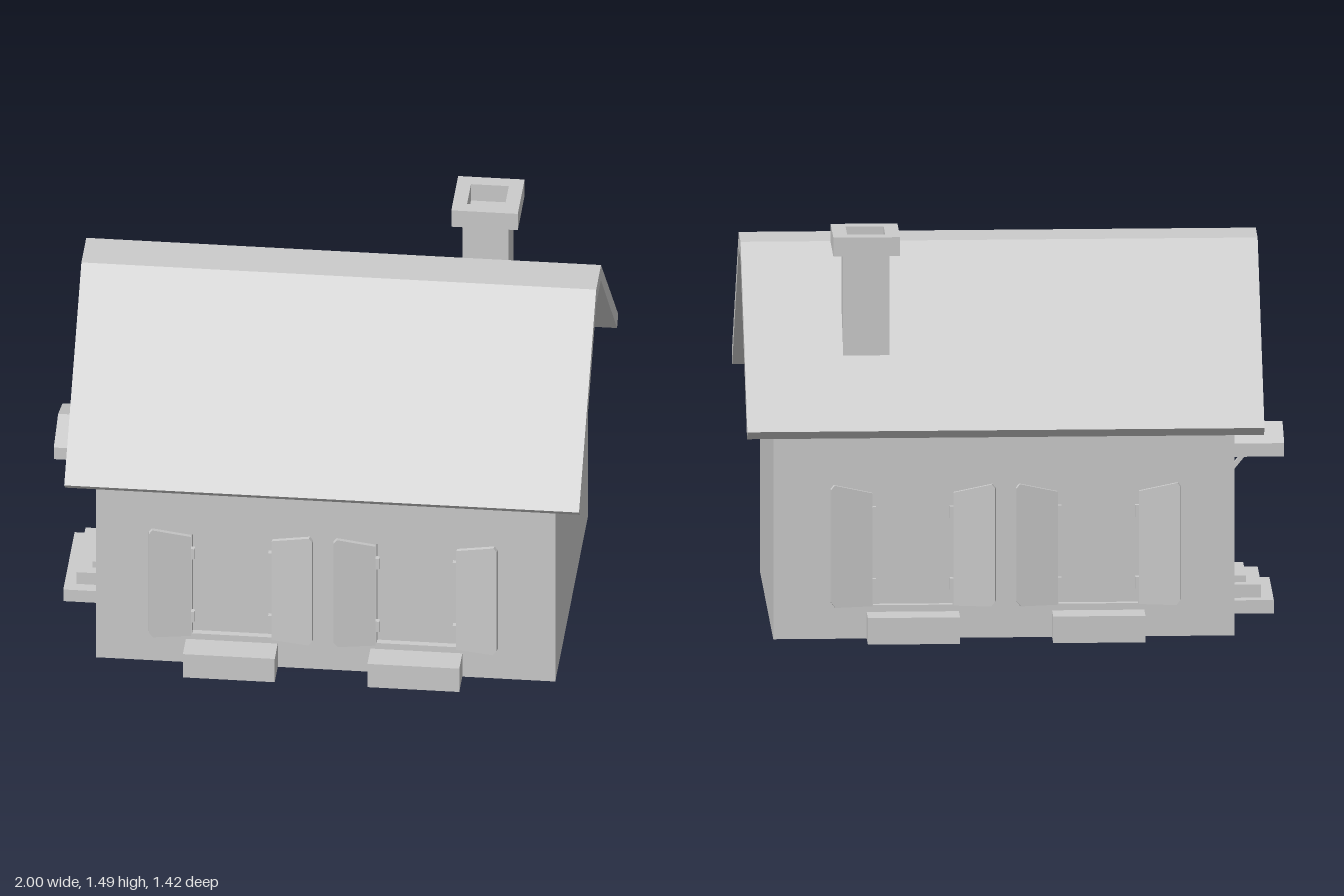
import * as THREE from 'three';

const mat = new THREE.MeshStandardMaterial({ color: 0xcccccc, flatShading: true, side: THREE.DoubleSide });

const v2 = (pts) => pts.map(([x, y]) => new THREE.Vector2(x, y));
const shapeOf = (pts, holes = []) => {
  const s = new THREE.Shape(v2(pts));
  holes.forEach((h) => s.holes.push(new THREE.Path(v2(h))));
  return s;
};

function add(parent, name, geo, x = 0, y = 0, z = 0) {
  const m = new THREE.Mesh(geo, mat);
  m.name = name;
  m.position.set(x, y, z);
  parent.add(m);
  return m;
}

const extrude = (shape, depth) => new THREE.ExtrudeGeometry(shape, { depth, bevelEnabled: false });

// Box lacking its bottom and back faces, resting on y with its back at z = 0
function openBox(w, h, d) {
  const g = new THREE.BoxGeometry(w, h, d).translate(0, h / 2, d / 2);
  const i = Array.from(g.index.array);
  g.setIndex([...i.slice(0, 18), ...i.slice(24, 30)]);
  g.clearGroups();
  return g;
}

// Sunken panel behind an opening: flat pane plus the reveal around it
function recess(parent, name, pts, depth) {
  const g = new THREE.Group();
  g.name = name;
  parent.add(g);
  add(g, name + 'Pane', new THREE.ShapeGeometry(shapeOf(pts)), 0, 0, -depth);
  const pos = [];
  pts.forEach(([ax, ay], i) => {
    const [bx, by] = pts[(i + 1) % pts.length];
    pos.push(ax, ay, 0, bx, by, -depth, bx, by, 0, ax, ay, 0, ax, ay, -depth, bx, by, -depth);
  });
  const geo = new THREE.BufferGeometry();
  geo.setAttribute('position', new THREE.Float32BufferAttribute(pos, 3));
  geo.computeVertexNormals();
  add(g, name + 'Reveal', geo);
}

// Opening with a low pointed top
const arch = (c, half, bottom, side, peak) => [
  [c - half, bottom], [c + half, bottom], [c + half, side],
  [c + 0.05, peak - 0.015], [c, peak], [c - 0.05, peak - 0.015], [c - half, side],
];

// Shutter leaf swung slightly away from the wall, with two hinges
function shutter(parent, hingeX, dir) {
  const g = new THREE.Group();
  g.name = 'shutter';
  g.position.set(hingeX, 0, 0);
  g.scale.x = dir;
  parent.add(g);
  const leaf = shapeOf([[0.005, 0.125], [0.145, 0.125], [0.16, 0.145], [0.16, 0.57], [0.148, 0.585], [0.005, 0.55]]);
  add(g, 'shutterLeaf', extrude(leaf, 0.016), 0, 0, 0.002).rotation.y = -0.18;
  for (const y of [0.205, 0.475]) add(g, 'hinge', new THREE.BoxGeometry(0.018, 0.045, 0.02), -0.002, y, 0.008);
}

// Long wall with two shuttered windows, each above a low block
function longWall() {
  const g = new THREE.Group();
  g.name = 'longWall';
  const centres = [-0.297, 0.386];
  const outline = [[-0.8, 0]];
  const holes = [];
  for (const c of centres) {
    outline.push([c - 0.17, 0], [c - 0.17, 0.1], [c + 0.17, 0.1], [c + 0.17, 0]);
    const win = arch(c, 0.147, 0.125, 0.55, 0.605);
    holes.push(win);
    recess(g, 'window', win, 0.025);
    shutter(g, c + 0.147, 1);
    shutter(g, c - 0.147, -1);
    add(g, 'windowStep', openBox(0.34, 0.1, 0.11), c, 0, 0);
  }
  outline.push([0.9, 0], [0.9, 0.848], [-0.8, 0.848]);
  add(g, 'wall', new THREE.ShapeGeometry(shapeOf(outline, holes)));
  return g;
}

// Gable wall with an octagonal attic window
function gableWall(notch, holes) {
  const g = new THREE.Group();
  g.name = 'gableWall';
  const outline = [[-0.59, 0], ...notch, [0.59, 0], [0.59, 0.848], [0.085, 1.33], [-0.085, 1.33], [-0.59, 0.848]];
  add(g, 'wall', new THREE.ShapeGeometry(shapeOf(outline, holes)));
  const octagon = (r) => Array.from({ length: 8 }, (_, i) => [r * Math.cos(i * Math.PI / 4), r * Math.sin(i * Math.PI / 4)]);
  add(g, 'atticWindowFrame', extrude(shapeOf(octagon(0.135), [octagon(0.102)]), 0.025), 0, 1.08, 0);
  return g;
}

// Entrance wall: door, side window, steps and porch canopy
function entranceWall() {
  const door = arch(0, 0.14, 0.13, 0.52, 0.56);
  const win = arch(0.38, 0.135, 0.14, 0.46, 0.5);
  const notch = [[-0.2, 0], [-0.2, 0.05], [-0.16, 0.05], [-0.16, 0.1], [-0.12, 0.1], [-0.12, 0.125],
    [0.12, 0.125], [0.12, 0.1], [0.16, 0.1], [0.16, 0.05], [0.2, 0.05], [0.2, 0]];
  const g = gableWall(notch, [door, win]);
  g.name = 'entranceWall';
  recess(g, 'door', door, 0.025);
  recess(g, 'sideWindow', win, 0.025);
  [[0.41, 0, 0.05, 0.16], [0.32, 0.05, 0.05, 0.115], [0.24, 0.1, 0.025, 0.06]]
    .forEach(([w, y, h, d]) => add(g, 'doorStep', openBox(w, h, d), 0, y, 0));
  const canopy = shapeOf([[-0.158, 0.58], [0, 0.63], [0.158, 0.58], [0.158, 0.63], [0, 0.68], [-0.158, 0.63]]);
  add(g, 'porchRoof', extrude(canopy, 0.2));
  // Slanted struts under the canopy
  const strut = shapeOf([[0, 0.51], [0.065, 0.59], [0.045, 0.59], [0, 0.535]]);
  for (const u of [-0.13, 0.13]) {
    add(g, 'porchStrut', extrude(strut, 0.02).translate(0, 0, -0.01), u, 0, 0).rotation.y = -Math.PI / 2;
  }
  return g;
}

// Chimney stack and its hollow cap
function chimney() {
  const g = new THREE.Group();
  g.name = 'chimney';
  g.position.set(0.552, 0, -0.377);
  add(g, 'chimneyStack', new THREE.BoxGeometry(0.17, 0.42, 0.17), 0, 1.21, 0);
  const square = (r) => [[-r, -r], [r, -r], [r, r], [-r, r]];
  const cap = extrude(shapeOf(square(0.123), [square(0.07)]), 0.07).rotateX(-Math.PI / 2);
  add(g, 'chimneyCap', cap, 0, 1.42, 0);
  return g;
}

export function createModel() {
  const house = new THREE.Group();
  house.name = 'house';

  // Walls
  const front = longWall();
  front.position.z = 0.59;
  const back = longWall();
  back.position.z = -0.59;
  back.scale.z = -1;
  const plainGable = gableWall([], []);
  plainGable.position.x = 0.9;
  plainGable.rotation.y = Math.PI / 2;
  const entrance = entranceWall();
  entrance.position.x = -0.8;
  entrance.rotation.y = -Math.PI / 2;
  house.add(front, back, plainGable, entrance, chimney());

  // Roof with a flat ridge and overhanging eaves
  const half = [[0.668, 0.77], [0.71, 0.805], [0.088, 1.39]];
  const inner = [[0.083, 1.328]];
  const mirror = (p) => p.map(([u, y]) => [-u, y]).reverse();
  const profile = [...inner, ...half, ...mirror(half), ...mirror(inner)];
  const roof = extrude(shapeOf(profile), 1.905).rotateY(Math.PI / 2);
  add(house, 'roof', roof, -0.905, 0, 0);

  return house;
}
